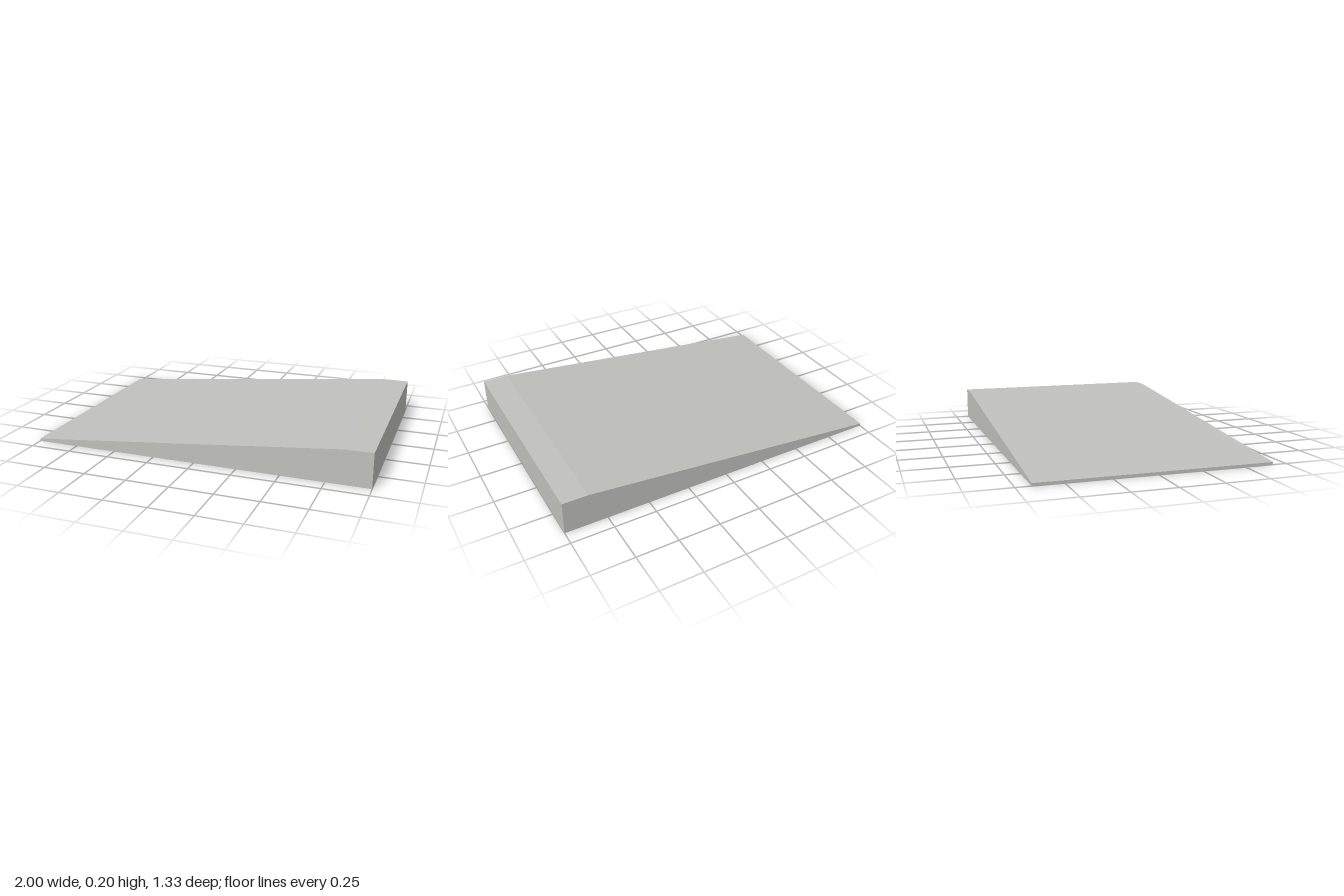
import * as THREE from 'three';

const HALF_DEPTH = 0.667;
const WALL = 0.015;

export function createModel() {
  const group = new THREE.Group();
  group.name = 'ramp';
  const grey = new THREE.MeshStandardMaterial({ color: 0xc0c0bd });
  grey.name = 'light grey';

  // Extrudes a side profile (x, y) between two depths
  function slab(name, points, z0, z1) {
    const shape = new THREE.Shape(points.map(([x, y]) => new THREE.Vector2(x, y)));
    const geometry = new THREE.ExtrudeGeometry(shape, { depth: z1 - z0, bevelEnabled: false });
    geometry.translate(0, 0, z0);
    const mesh = new THREE.Mesh(geometry, grey);
    mesh.name = name;
    group.add(mesh);
  }

  const inner = HALF_DEPTH - WALL;

  // Sloped deck with solid toe, flat landing and tall end wall
  slab('deck', [
    [-1, 0], [-0.85, 0], [-0.85, 0.015], [0.85, 0.185], [1 - WALL, 0.185],
    [1 - WALL, 0], [1, 0], [1, 0.2], [0.85, 0.2], [-1, 0.015],
  ], -inner, inner);

  // Closed side walls
  const outline = [[-1, 0], [1, 0], [1, 0.2], [0.85, 0.2], [-1, 0.015]];
  slab('leftSideWall', outline, inner, HALF_DEPTH);
  slab('rightSideWall', outline, -HALF_DEPTH, -inner);

  // Lengthwise ribs filling the hollow underside
  const rib = [[-0.85, 0], [1 - WALL, 0], [1 - WALL, 0.185], [0.85, 0.185], [-0.85, 0.015]];
  for (const z of [-0.333, 0, 0.333]) slab('rib', rib, z - WALL / 2, z + WALL / 2);

  // Crosswise rib below the top of the slope, split between the ribs
  const edges = [-inner, -0.333, 0, 0.333, inner];
  for (let i = 0; i < 4; i++) {
    const z0 = edges[i] + (i > 0 ? WALL / 2 : 0);
    const z1 = edges[i + 1] - (i < 3 ? WALL / 2 : 0);
    slab('crossRib', [[0.843, 0], [0.858, 0], [0.858, 0.187], [0.843, 0.187]], z0, z1);
  }

  return group;
}
